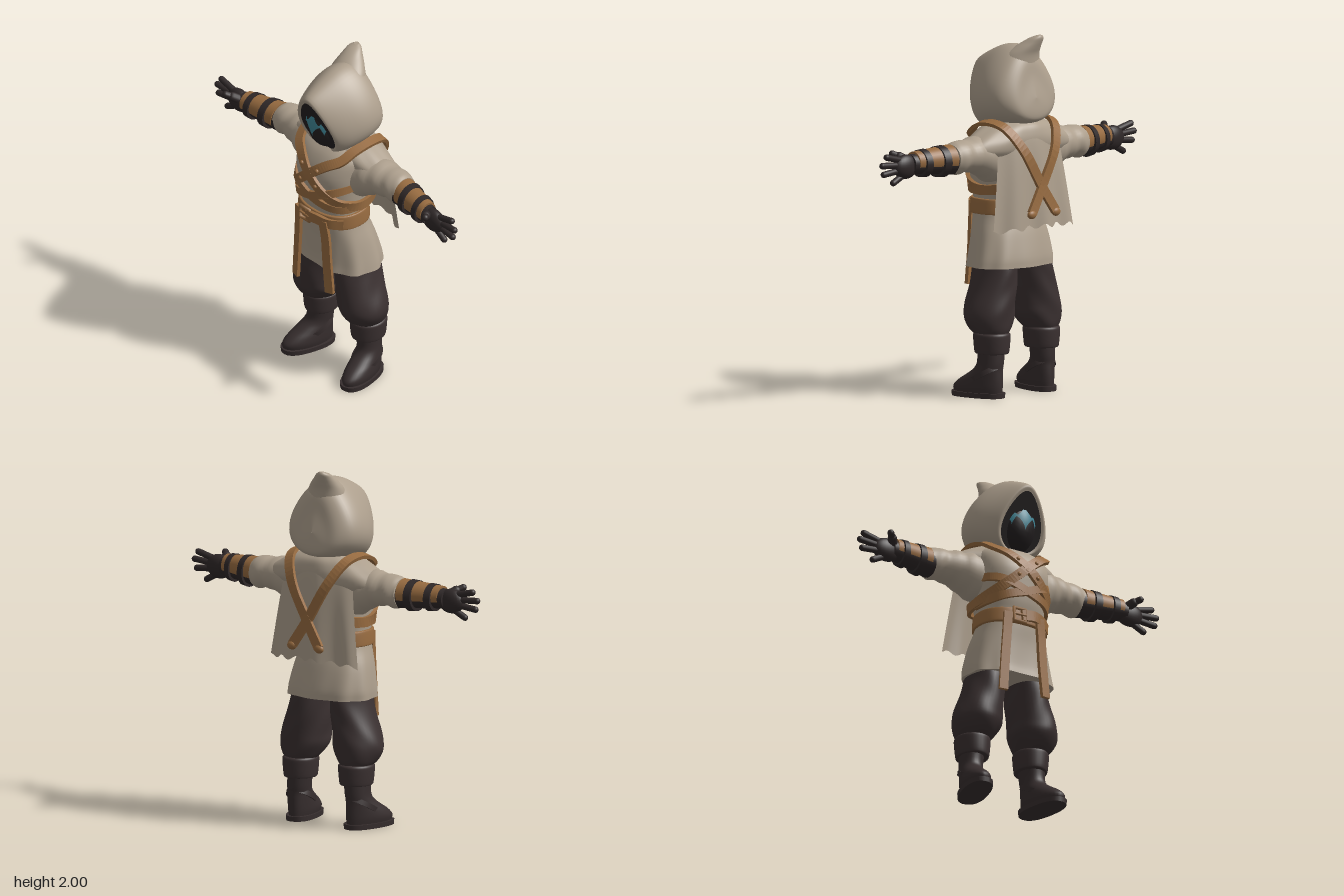
import * as THREE from 'three';
import { mergeGeometries } from 'three/addons/utils/BufferGeometryUtils.js';

const mat = (name, color, side = THREE.FrontSide) => {
  const m = new THREE.MeshStandardMaterial({ color, side });
  m.name = name;
  return m;
};
const V = (x, y, z) => new THREE.Vector3(x, y, z);

// Surface through closed rings of points, optionally capped at both ends
function skin(rows, capped = true) {
  const n = rows[0].length, pos = [], idx = [];
  rows.forEach(r => r.forEach(p => pos.push(p.x, p.y, p.z)));
  for (let i = 0; i < rows.length - 1; i++) for (let j = 0; j < n; j++) {
    const k = (j + 1) % n, a = i * n, b = a + n;
    idx.push(a + j, b + j, a + k, a + k, b + j, b + k);
  }
  if (capped) [rows[0], rows[rows.length - 1]].forEach((r, end) => {
    const c = r.reduce((s, p) => s.add(p), V(0, 0, 0)).divideScalar(n), base = pos.length / 3;
    [c, ...r].forEach(p => pos.push(p.x, p.y, p.z));
    for (let j = 0; j < n; j++) {
      const a = base + 1 + j, b = base + 1 + (j + 1) % n;
      idx.push(base, end ? b : a, end ? a : b);
    }
  });
  const g = new THREE.BufferGeometry();
  g.setAttribute('position', new THREE.Float32BufferAttribute(pos, 3));
  g.setIndex(idx);
  g.computeVertexNormals();
  return g;
}

// Smoothly subdivides rows of numbers
function smooth(rows, k) {
  const f = new THREE.CubicInterpolant(rows.map((_, i) => i), rows.flat(), rows[0].length);
  const out = [];
  for (let i = 0; i <= (rows.length - 1) * k; i++) out.push(Array.from(f.evaluate(i / k)));
  return out;
}

// Rings [position on axis, centre a, centre b, radius a, radius b], along y or x
function loft(rings, { axis = 'y', n = 32, k = 4, p = 2, fold = () => 1 } = {}) {
  const pw = v => Math.sign(v) * Math.abs(v) ** (2 / p);
  return skin(smooth(rings, k).map(([t, ca, cb, ra, rb]) => Array.from({ length: n }, (_, j) => {
    const q = j / n * Math.PI * 2, s = fold(q, t);
    const a = pw(Math.cos(q)) * ra * s, b = pw(Math.sin(q)) * rb * s;
    return axis === 'y' ? V(ca + a, t, cb + b) : V(t, ca + a, cb - b);
  })));
}

// Flat strap along a path, facing away from the body
function band(points, w = 0.055, t = 0.02, steps = 48) {
  const curve = new THREE.CatmullRomCurve3(points.map(p => V(...p)), false, 'centripetal');
  return skin(Array.from({ length: steps + 1 }, (_, i) => {
    const c = curve.getPoint(i / steps), dir = curve.getTangent(i / steps);
    const out = c.clone().sub(V(c.x * 0.7, Math.min(c.y, 1.3), 0.03));
    out.addScaledVector(dir, -out.dot(dir)).normalize();
    const side = dir.clone().cross(out);
    return [[1, 1], [-1, 1], [-1, -1], [1, -1]].map(([a, b]) =>
      c.clone().addScaledVector(side, a * w / 2).addScaledVector(out, b * t / 2));
  })).toNonIndexed();
}

function capsule(a, b, r) {
  const A = V(...a), B = V(...b), d = B.clone().sub(A);
  const g = new THREE.CapsuleGeometry(r, d.length(), 5, 12);
  g.applyQuaternion(new THREE.Quaternion().setFromUnitVectors(V(0, 1, 0), d.normalize()));
  const c = A.add(B).multiplyScalar(0.5);
  return g.translate(c.x, c.y, c.z);
}
const ball = (x, y, z, rx, ry = rx, rz = rx) =>
  new THREE.SphereGeometry(1, 24, 16).scale(rx, ry, rz).translate(x, y, z);

function flip(src) {
  const g = src.clone();
  if (!g.index) g.setIndex(Array.from({ length: g.attributes.position.count }, (_, i) => i));
  g.scale(-1, 1, 1);
  const ix = g.index.array;
  for (let i = 0; i < ix.length; i += 3) [ix[i], ix[i + 1]] = [ix[i + 1], ix[i]];
  return g;
}

export function createModel() {
  const model = new THREE.Group();
  model.name = 'hoodedWanderer';
  const cloth = mat('cloth', 0xad9f8d, THREE.DoubleSide), leather = mat('leather', 0x976b40);
  const trouser = mat('trouserCloth', 0x3b3131), boot = mat('bootLeather', 0x372e2e);
  const glove = mat('gloveLeather', 0x2f2828), shade = mat('faceShadow', 0x231f20, THREE.DoubleSide);
  const glow = mat('eyeGlow', 0x3f8494, THREE.DoubleSide);
  const add = (name, g, m) => {
    if (!g.index) g.computeVertexNormals();
    const mesh = new THREE.Mesh(g, m);
    mesh.name = name;
    model.add(mesh);
  };
  const pair = (name, g, m) => { add(name + 'Left', g, m); add(name + 'Right', flip(g), m); };

  // Tunic with a folded skirt
  add('tunic', loft([
    [0.72, 0.01, 0.015, 0.262, 0.18], [0.78, 0.005, 0.015, 0.255, 0.175], [0.9, 0, 0.03, 0.23, 0.162],
    [1.0, 0, 0.05, 0.2, 0.15], [1.08, 0, 0.055, 0.188, 0.15], [1.15, 0, 0.05, 0.195, 0.17],
    [1.25, 0, 0.05, 0.205, 0.18], [1.35, 0, 0.05, 0.215, 0.18], [1.45, 0, 0.03, 0.215, 0.15],
    [1.51, 0, 0, 0.14, 0.11]],
  { n: 72, p: 2.4, fold: (q, y) => 1 + 0.025 * Math.max(0, (1 - y) / 0.28) * Math.sin(q * 9 + y * 4) }), cloth);

  // Shoulder mantle, sleeves and cape
  add('mantle', loft([
    [1.35, 0, -0.03, 0.385, 0.125], [1.38, 0, -0.03, 0.4, 0.14], [1.42, 0, -0.025, 0.37, 0.15],
    [1.46, 0, -0.02, 0.3, 0.15], [1.5, 0, -0.02, 0.215, 0.135], [1.53, 0, -0.01, 0.13, 0.11]],
  { n: 64, fold: q => 1 + 0.015 * Math.sin(q * 10) }), cloth);
  pair('sleeve', loft([
    [0.12, 1.33, 0, 0.15, 0.12], [0.22, 1.335, -0.005, 0.135, 0.125], [0.31, 1.355, -0.015, 0.105, 0.11],
    [0.4, 1.36, -0.02, 0.088, 0.095], [0.46, 1.357, -0.02, 0.092, 0.092], [0.495, 1.35, -0.017, 0.08, 0.082]],
  { axis: 'x', fold: (q, x) => 1 + 0.03 * Math.sin(x * 75 + Math.cos(q) * 2) }), cloth);
  const cape = new THREE.PlaneGeometry(2, 1, 40, 24), cp = cape.attributes.position;
  for (let i = 0; i < cp.count; i++) {
    const u = cp.getX(i), v = 0.5 - cp.getY(i);
    cp.setXYZ(i, u * (0.22 + 0.08 * v), 1.48 - v * (0.53 + 0.012 * Math.sin(u * 17) + 0.02 * u * u),
      -0.155 - 0.065 * Math.sqrt(v) + 0.06 * u * u + 0.012 * v * Math.sin(u * 9));
  }
  cape.computeVertexNormals();
  add('cape', cape, cloth);

  // Hood: arched sections [half width, bottom, top, z at bottom, z at top]
  const arch = ([w, y0, y1, z0, z1]) => Array.from({ length: 48 }, (_, j) => {
    const a = j / 48 * Math.PI * 2, t = (1 + Math.cos(a)) / 2;
    return V(-w * 0.96 * Math.sin(a) * (1 - 0.35 * Math.cos(a)), y0 + (y1 - y0) * t, z0 + (z1 - z0) * t);
  });
  const rim = [0.125, 1.475, 1.805, 0.13, 0.25], inner = [0.118, 1.48, 1.79, 0.03, 0.1];
  add('hood', skin(smooth([
    rim, [0.15, 1.46, 1.84, 0.13, 0.255], [0.19, 1.46, 1.89, 0.09, 0.17],
    [0.218, 1.475, 1.935, 0.03, 0.06], [0.224, 1.49, 1.945, -0.04, -0.03], [0.205, 1.51, 1.925, -0.12, -0.095],
    [0.15, 1.53, 1.87, -0.18, -0.135], [0.08, 1.57, 1.77, -0.195, -0.155],
    [0.001, 1.659, 1.661, -0.185, -0.185]], 4).map(arch), false), cloth);
  add('hoodTip', loft([
    [1.82, 0, -0.04, 0.13, 0.1], [1.89, -0.01, -0.06, 0.105, 0.085], [1.93, -0.022, -0.088, 0.08, 0.07],
    [1.96, -0.035, -0.115, 0.058, 0.054], [1.985, -0.045, -0.14, 0.04, 0.036],
    [2.0, -0.048, -0.158, 0.016, 0.014]]), cloth);
  add('hoodLining', skin([arch(inner), arch(rim)]), shade);

  // Shadowed face with star-shaped glowing marks laid on its surface
  const F = { y: 1.638, z: 0.09, rx: 0.122, ry: 0.168, rz: 0.13 };
  add('face', ball(0, F.y, F.z, F.rx, F.ry, F.rz), shade);
  const star = (cx, cy, w, h) => {
    const g = new THREE.RingGeometry(0.001, 1, 48, 6), p = g.attributes.position;
    for (let i = 0; i < p.count; i++) {
      const r = Math.hypot(p.getX(i), p.getY(i)), c = p.getX(i) / r, s = p.getY(i) / r;
      const k = r / (Math.abs(c) ** 0.75 + Math.abs(s) ** 0.75) ** (1 / 0.75);
      const x = cx + w * c * k, y = cy + h * s * k;
      p.setXYZ(i, x, y, F.z + 0.004 +
        F.rz * Math.sqrt(Math.max(0, 1 - (x / F.rx) ** 2 - ((y - F.y) / F.ry) ** 2)));
    }
    g.computeVertexNormals();
    return g;
  };
  add('browMark', star(0, 1.658, 0.058, 0.075), glow);
  pair('eye', star(0.074, 1.663, 0.032, 0.055), glow);

  // Crossed harness over shoulders, chest and back
  pair('harnessStrap', band([
    [-0.09, 1.03, -0.242], [0, 1.17, -0.228], [0.12, 1.38, -0.208], [0.185, 1.5, -0.13], [0.2, 1.525, -0.03],
    [0.19, 1.505, 0.08], [0.165, 1.46, 0.155], [0.1, 1.42, 0.205], [0, 1.34, 0.243], [-0.1, 1.25, 0.229],
    [-0.17, 1.19, 0.174], [-0.213, 1.15, 0.05], [-0.18, 1.16, -0.08], [-0.1, 1.18, -0.14]], 0.055, 0.02, 90), leather);
  pair('ribStrap', band([[0.208, 1.14, 0.03], [0.18, 1.145, 0.15], [0.12, 1.165, 0.212], [0, 1.2, 0.238],
    [-0.12, 1.25, 0.218], [-0.18, 1.275, 0.16], [-0.216, 1.29, 0.05]], 0.045), leather);
  pair('strapKnob', ball(0.092, 1.025, -0.243, 0.03, 0.024, 0.018), leather);
  pair('upperRivet', ball(0.06, 1.383, 0.238, 0.012), leather);
  pair('lowerRivet', ball(0.06, 1.287, 0.25, 0.012), leather);

  // Belt, buckle and hanging ends
  add('belt', loft([[1.01, 0, 0.055, 0.208, 0.164], [1.02, 0, 0.055, 0.212, 0.168],
    [1.085, 0, 0.055, 0.206, 0.168], [1.095, 0, 0.055, 0.2, 0.162]], { n: 48, p: 2.3 }), leather);
  add('buckle', new THREE.TorusGeometry(0.052, 0.011, 8, 4).rotateZ(Math.PI / 4)
    .translate(-0.045, 1.05, 0.232), leather);
  add('buckleProng', capsule([-0.08, 1.05, 0.236], [-0.01, 1.05, 0.24], 0.007), leather);
  add('beltTongue', band([[-0.03, 1.05, 0.231], [0.05, 1.06, 0.23], [0.12, 1.05, 0.205], [0.18, 1.045, 0.15]], 0.06), leather);
  add('beltEndRight', band([[-0.11, 1.06, 0.215], [-0.115, 0.95, 0.212], [-0.125, 0.8, 0.21], [-0.138, 0.585, 0.21]], 0.05), leather);
  add('beltEndLeft', band([[0.09, 1.06, 0.22], [0.105, 0.95, 0.212], [0.115, 0.8, 0.21], [0.135, 0.6, 0.21]], 0.055), leather);

  // Baggy trousers and rolled cuffs
  pair('trouserLeg', loft([
    [0.35, 0.188, -0.025, 0.085, 0.095], [0.385, 0.187, -0.01, 0.112, 0.122], [0.44, 0.182, 0.003, 0.138, 0.14],
    [0.5, 0.176, 0.005, 0.135, 0.145], [0.6, 0.152, 0.005, 0.12, 0.145], [0.7, 0.135, 0.005, 0.106, 0.145],
    [0.78, 0.125, 0.005, 0.105, 0.135]],
  { n: 40, fold: (q, y) => 1 + 0.015 * Math.sin(q * 5 + y * 30) }), trouser);
  pair('trouserCuff', loft([
    [0.245, 0.19, -0.028, 0.082, 0.092], [0.255, 0.19, -0.028, 0.09, 0.102], [0.33, 0.19, -0.028, 0.098, 0.108],
    [0.355, 0.19, -0.028, 0.096, 0.106], [0.365, 0.19, -0.028, 0.08, 0.09]]), trouser);

  // Boots, toes turned slightly out
  const place = g => g.rotateY(0.22).translate(0.202, 0, -0.028);
  pair('boot', place(loft([
    [0.02, 0, 0.08, 0.068, 0.152], [0.055, 0, 0.08, 0.075, 0.155], [0.09, 0, 0.062, 0.074, 0.138],
    [0.125, 0, 0.035, 0.07, 0.11], [0.16, 0, 0.012, 0.066, 0.086], [0.2, -0.003, 0, 0.066, 0.078],
    [0.28, -0.008, 0, 0.07, 0.08]])), boot);
  pair('bootSole', place(loft([[0, 0, 0.078, 0.078, 0.162], [0.028, 0, 0.078, 0.08, 0.164]], { p: 2.4 })), boot);
  pair('bootStrap', place(loft([[-0.014, 0, 0, 0.079, 0.11], [0.014, 0, 0, 0.079, 0.11]])
    .rotateX(0.5).translate(0, 0.125, 0.03)), boot);

  // Forearms, bracers and their straps
  const arm = (x0, x1, grow, lift = 0) => {
    const at = x => {
      const t = (x - 0.47) / 0.29;
      return [x, 1.345 + lift, -0.016 + 0.05 * t, 0.08 - 0.026 * t + grow, 0.08 - 0.028 * t + grow];
    };
    return loft([at(x0), at((x0 + x1) / 2), at(x1)], { axis: 'x' });
  };
  pair('gloveSleeve', arm(0.47, 0.76, 0), glove);
  pair('bracer', arm(0.5, 0.735, 0.003, 0.009), leather);
  pair('bracerStrapInner', arm(0.55, 0.59, 0.016), glove);
  pair('bracerStrapOuter', arm(0.665, 0.7, 0.016), glove);

  // Hands with spread fingers and forward thumb
  const tips = [[0.935, 1.4, 0.035], [0.963, 1.355, 0.04], [0.95, 1.305, 0.042], [0.88, 1.252, 0.04]];
  pair('hand', mergeGeometries([
    ball(0.79, 1.335, 0.035, 0.085, 0.068, 0.043),
    ...tips.map((t, i) => capsule([0.82 - (i === 3 ? 0.02 : 0), 1.372 - i * 0.026, 0.035], t, 0.018)),
    capsule([0.755, 1.36, 0.05], [0.785, 1.385, 0.09], 0.026),
    capsule([0.785, 1.385, 0.09], [0.812, 1.4, 0.118], 0.019)]), glove);

  return model;
}
